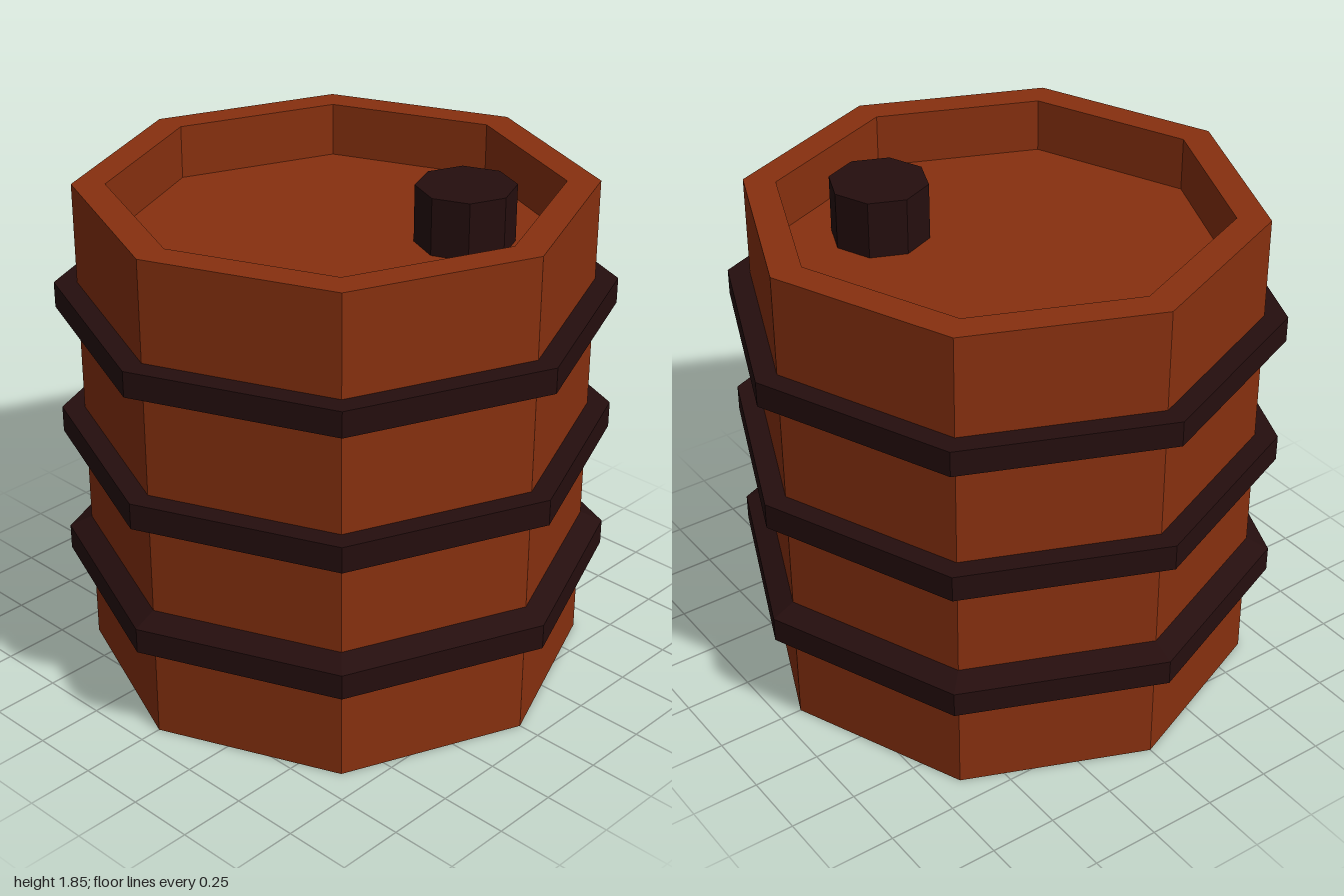
import * as THREE from 'three';

const SIDES = 8;

// Faceted eight-sided solid turned from [radius, y] points, listed bottom to top on the outside
function turned(name, profile, material) {
  const points = profile.map(([r, y]) => new THREE.Vector2(r, y));
  const geometry = new THREE.LatheGeometry(points, SIDES).toNonIndexed();
  geometry.computeVertexNormals();
  const mesh = new THREE.Mesh(geometry, material);
  mesh.name = name;
  return mesh;
}

export function createModel() {
  const wood = new THREE.MeshStandardMaterial({ color: 0x87300f });
  wood.name = 'redBrownWood';
  const iron = new THREE.MeshStandardMaterial({ color: 0x250e0e });
  iron.name = 'darkIron';

  const group = new THREE.Group();
  group.name = 'barrel';

  // Barrel body with a sunken lid inside the rim
  const R = 0.918, H = 1.84, FLOOR = 1.64;
  group.add(turned('barrelBody', [
    [0, 0], [R, 0], [R, H], [0.8, H], [0.8, FLOOR], [0, FLOOR],
  ], wood));

  // Hoops: the lower one slopes on top, the upper one slopes underneath
  const hoops = [
    ['lowerHoop', 0.375, 0.375, 0.47, 0.51],
    ['middleHoop', 0.875, 0.875, 0.973, 0.973],
    ['upperHoop', 1.337, 1.375, 1.47, 1.47],
  ];
  for (const [name, innerLow, outerLow, outerHigh, innerHigh] of hoops) {
    group.add(turned(name, [
      [R, innerLow], [1, outerLow], [1, outerHigh], [R, innerHigh],
    ], iron));
  }

  // Bung standing on the sunken lid, just proud of the rim
  const bung = turned('bung', [
    [0, 0], [0.178, 0], [0.178, 0.21], [0, 0.21],
  ], iron);
  bung.position.set(0.352, FLOOR, -0.278);
  group.add(bung);

  return group;
}
